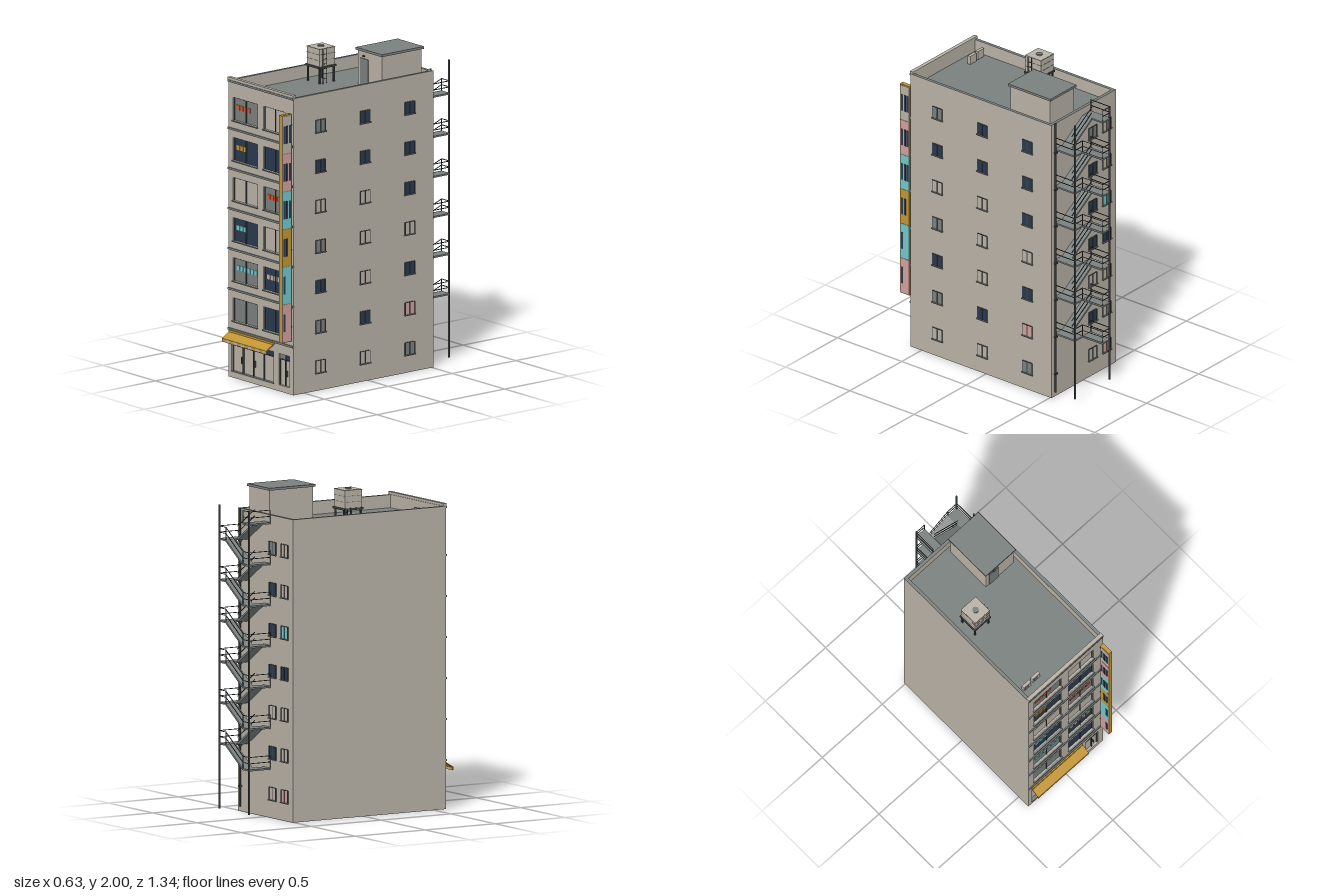
import * as THREE from 'three';

const mat = (name, color) => Object.assign(new THREE.MeshStandardMaterial({ color }), { name });

export function createModel() {
  const M = {
    wall: mat('wall beige', 0xb8b1a6), grey: mat('concrete grey', 0x7a807e),
    navy: mat('dark glass', 0x2a394f), dark: mat('dark metal', 0x414647),
    ochre: mat('ochre', 0xc29532), cyan: mat('cyan', 0x72c6cc),
    pink: mat('pink', 0xcf9f9c), red: mat('red', 0xcf5a3a),
  };
  const root = new THREE.Group();
  root.name = 'building';
  const group = (name) => {
    const g = new THREE.Group();
    g.name = name;
    root.add(g);
    return g;
  };
  // box given by its minimum and maximum on each axis
  const box = (parent, name, m, x0, x1, y0, y1, z0, z1) => {
    const mesh = new THREE.Mesh(new THREE.BoxGeometry(x1 - x0, y1 - y0, z1 - z0), m);
    mesh.position.set((x0 + x1) / 2, (y0 + y1) / 2, (z0 + z1) / 2);
    mesh.name = name;
    parent.add(mesh);
    return mesh;
  };
  // sloping bar in the x-y direction
  const slope = (parent, name, m, x0, y0, x1, y1, z, thick, depth) => {
    const mesh = new THREE.Mesh(new THREE.BoxGeometry(Math.hypot(x1 - x0, y1 - y0), thick, depth), m);
    mesh.position.set((x0 + x1) / 2, (y0 + y1) / 2, z);
    mesh.rotation.z = Math.atan2(y1 - y0, x1 - x0);
    mesh.name = name;
    parent.add(mesh);
  };
  const cyl = (parent, name, m, r, x, y0, y1, z) => {
    const mesh = new THREE.Mesh(new THREE.CylinderGeometry(r, r, y1 - y0, 10), m);
    mesh.position.set(x, (y0 + y1) / 2, z);
    mesh.name = name;
    parent.add(mesh);
  };
  const floors = [0.3, 0.55, 0.8, 1.05, 1.3, 1.55];

  // main block, with grey roof and underside
  box(root, 'body', [M.wall, M.wall, M.grey, M.grey, M.wall, M.wall], -0.31, 0.31, 0, 1.77, -0.51, 0.57);

  // front wall with openings
  const cols = [[-0.265, -0.035], [0.025, 0.23]];
  const rect = (S, x0, x1, y0, y1) =>
    new S([[x0, y0], [x1, y0], [x1, y1], [x0, y1]].map((p) => new THREE.Vector2(...p)));
  const facade = rect(THREE.Shape, -0.31, 0.31, 0, 1.85);
  for (const f of floors) for (const [a, b] of cols) facade.holes.push(rect(THREE.Path, a, b, f + 0.055, f + 0.198));
  facade.holes.push(rect(THREE.Path, -0.28, 0.12, 0.04, 0.235), rect(THREE.Path, 0.17, 0.27, 0.04, 0.235));
  const front = new THREE.Mesh(new THREE.ExtrudeGeometry(facade, { depth: 0.015, bevelEnabled: false }), M.wall);
  front.position.z = 0.57;
  front.name = 'frontWall';
  root.add(front);

  // parapet
  const parapet = group('parapet');
  const capped = [M.wall, M.wall, M.grey, M.wall, M.wall, M.wall];
  for (const s of [-1, 1]) {
    const [a, b] = s < 0 ? [-0.31, -0.29] : [0.29, 0.31];
    box(parapet, 'sideParapet', capped, a, b, 1.77, 1.85, -0.51, 0.57);
  }
  box(parapet, 'backParapet', capped, -0.29, 0.29, 1.77, 1.85, -0.51, -0.49);
  box(parapet, 'frontParapet', M.wall, -0.31, 0.31, 1.852, 1.868, 0.566, 0.59);

  // floor bands
  for (const y of [...floors, 1.845]) box(root, 'floorBand', M.grey, -0.31, 0.31, y - 0.006, y + 0.006, 0.58, 0.592);

  // front windows: pane colour, sticker colour, sticker count, left and right column
  const W = [
    [['grey'], ['navy']],
    [['grey', 'cyan', 6], ['navy', 'wall', 5]],
    [['navy', 'cyan', 3], ['wall']],
    [['wall'], ['grey', 'red', 5]],
    [['navy', 'ochre', 3], ['navy']],
    [['grey', 'red', 4], ['wall']],
  ];
  const windows = group('frontWindows');
  floors.forEach((f, i) => cols.forEach(([a, b], c) => {
    const [pane, sticker, n] = W[i][c], y0 = f + 0.055, y1 = f + 0.198, mid = (a + b) / 2;
    box(windows, 'pane', M[pane], a, b, y0, y1, 0.57, 0.573);
    for (const x of [a + 0.0025, mid, b - 0.0025]) box(windows, 'mullion', M.dark, x - 0.002, x + 0.002, y0, y1, 0.571, 0.579);
    box(windows, 'frameTop', M.dark, a, b, y1 - 0.003, y1, 0.571, 0.579);
    box(windows, 'sill', M.grey, a - 0.005, b + 0.005, y0 - 0.007, y0, 0.58, 0.594);
    for (let k = 0; k < (n || 0); k++) {
      const x = a + 0.022 + k * 0.0335;
      box(windows, 'sticker', M[sticker], x, x + 0.028, f + 0.124, f + 0.154, 0.573, 0.576);
    }
  }));

  // small windows, built facing +z and turned onto the wall
  const smallWindow = (pane, w, x, y, z, turn) => {
    const g = group('smallWindow');
    box(g, 'pane', M[pane], -w / 2, w / 2, -0.038, 0.038, 0, 0.003);
    for (const u of [-w / 2, 0, w / 2]) box(g, 'frameUpright', M.dark, u - 0.002, u + 0.002, -0.038, 0.038, 0, 0.006);
    box(g, 'frameTop', M.dark, -w / 2, w / 2, 0.036, 0.039, 0, 0.006);
    box(g, 'sill', M.grey, -w / 2 - 0.005, w / 2 + 0.005, -0.044, -0.038, 0, 0.011);
    g.position.set(x, y, z);
    g.rotation.y = turn;
  };
  const side = [
    ['wall', 'wall', 'grey'], ['grey', 'navy', 'pink'], ['navy', 'wall', 'navy'], ['grey', 'wall', 'wall'],
    ['wall', 'wall', 'navy'], ['navy', 'navy', 'navy'], ['grey', 'navy', 'navy'],
  ];
  const back = [
    ['wall', 'pink'], ['navy', 'wall'], ['wall', 'wall'], ['navy', 'navy'],
    ['navy', 'cyan'], ['navy', 'wall'], ['grey', 'wall'],
  ];
  for (let i = 0; i < 7; i++) {
    const y = 0.15 + i * 0.25;
    side[i].forEach((c, k) => smallWindow(c, 0.075, 0.31, y, 0.375 - 0.35 * k, Math.PI / 2));
    back[i].forEach((c, k) => smallWindow(c, 0.075, -0.085 - 0.135 * k, y, -0.51, Math.PI));
  }

  // shop front and entrance
  const shop = group('shopFront');
  box(shop, 'transom', M.navy, -0.28, 0.12, 0.205, 0.235, 0.57, 0.574);
  box(shop, 'transomBar', M.dark, -0.28, 0.12, 0.2, 0.205, 0.57, 0.579);
  for (let i = 0; i < 5; i++) box(shop, 'mullion', M.dark, -0.28 + i * 0.099, -0.276 + i * 0.099, 0.04, 0.235, 0.57, 0.579);
  for (const x of [-0.192, -0.069]) box(shop, 'handle', M.dark, x, x + 0.005, 0.1, 0.14, 0.57, 0.582);
  box(shop, 'threshold', M.grey, -0.285, 0.125, 0.035, 0.041, 0.57, 0.59);
  const door = group('entrance');
  box(door, 'sidePanel', M.grey, 0.17, 0.222, 0.2, 0.235, 0.57, 0.575);
  box(door, 'transom', M.navy, 0.226, 0.27, 0.205, 0.235, 0.57, 0.574);
  box(door, 'transomBar', M.dark, 0.17, 0.27, 0.199, 0.204, 0.57, 0.579);
  for (const x of [0.17, 0.222, 0.266]) box(door, 'doorFrame', M.dark, x, x + 0.004, 0.04, 0.2, 0.57, 0.579);
  box(door, 'handle', M.dark, 0.232, 0.237, 0.1, 0.135, 0.57, 0.582);

  // awning
  const awning = group('awning');
  box(awning, 'headBox', M.ochre, -0.29, 0.13, 0.284, 0.296, 0.585, 0.6);
  const sheet = box(awning, 'canopy', M.ochre, -0.29, 0.13, -0.003, 0.003, -0.036, 0.036);
  sheet.position.set(-0.08, 0.268, 0.619);
  sheet.rotation.x = 0.56;
  for (let i = 0; i < 12; i++) {
    const x = -0.29 + i * 0.035;
    box(awning, 'valance', i % 2 ? M.wall : M.ochre, x, x + 0.035, 0.23, 0.25, 0.647, 0.651);
  }

  // vertical sign
  const sign = group('verticalSign');
  box(sign, 'signBody', M.ochre, 0.277, 0.303, 0.337, 1.755, 0.597, 0.672);
  ['pink', 'cyan', 'ochre', 'cyan', 'pink', 'wall'].forEach((c, i) => {
    const y = 0.343 + i * 0.2345, n = [1, 1, 2, 3, 3, 3][i];
    for (const [a, b, o] of [[0.275, 0.277, -0.002], [0.303, 0.305, 0.002]]) {
      box(sign, 'signPanel', M[c], a, b, y, y + 0.232, 0.6, 0.669);
      for (let k = 0; k < n; k++) {
        const z = 0.654 - k * 0.021;
        box(sign, 'signBar', M.navy, a + o, b + o, y + 0.062, y + 0.172, z - 0.007, z + 0.007);
      }
    }
  });
  for (const y of [0.42, 0.9, 1.3, 1.68]) box(sign, 'bracket', M.dark, 0.286, 0.294, y, y + 0.01, 0.58, 0.6);

  // stair house on the roof
  const house = group('stairHouse');
  box(house, 'houseWalls', M.wall, 0.03, 0.26, 1.77, 1.985, -0.46, -0.15);
  box(house, 'houseRoof', M.grey, 0.02, 0.27, 1.985, 2, -0.47, -0.14);
  box(house, 'houseDoor', M.grey, 0.058, 0.13, 1.772, 1.94, -0.15, -0.145);
  box(house, 'doorLamp', M.dark, 0.084, 0.1, 1.953, 1.96, -0.15, -0.138);

  // water tank on legs
  const tank = group('waterTank');
  for (const x of [-0.228, -0.117]) for (const z of [-0.083, 0.028]) box(tank, 'leg', M.dark, x - 0.005, x + 0.005, 1.77, 1.868, z - 0.005, z + 0.005);
  box(tank, 'tankBase', M.dark, -0.24, -0.105, 1.865, 1.877, -0.095, 0.04);
  box(tank, 'tankBody', M.wall, -0.233, -0.112, 1.877, 1.988, -0.088, 0.033);
  for (const y of [1.914, 1.951]) box(tank, 'seam', M.grey, -0.2345, -0.1105, y - 0.001, y + 0.001, -0.0895, 0.0345);
  box(tank, 'rim', M.grey, -0.235, -0.11, 1.984, 1.987, -0.09, 0.035);
  cyl(tank, 'hatch', M.grey, 0.02, -0.172, 1.988, 1.995, -0.027);
  for (const z of [-0.02, 0.008]) box(tank, 'ladderRail', M.dark, -0.109, -0.105, 1.77, 1.985, z, z + 0.003);
  for (let y = 1.8; y < 1.98; y += 0.03) box(tank, 'ladderRung', M.dark, -0.109, -0.106, y, y + 0.003, -0.02, 0.011);

  // rooftop units
  for (const [x, z] of [[-0.235, 0.488], [-0.157, 0.484]]) {
    const unit = group('roofUnit');
    box(unit, 'unitBody', M.wall, x - 0.03, x + 0.03, 1.775, 1.83, z - 0.01, z + 0.01);
    box(unit, 'unitGrille', M.grey, x - 0.02, x + 0.01, 1.785, 1.82, z + 0.01, z + 0.012);
  }

  // fire escape
  const stair = group('fireEscape');
  const zi = -0.513, zo = -0.667;
  const landing = (y, x0, x1, endX) => {
    box(stair, 'landing', M.grey, x0, x1, y - 0.005, y + 0.005, zo, zi);
    for (const h of [0.042, 0.08]) {
      box(stair, 'outerRail', M.dark, x0, x1, y + h - 0.002, y + h + 0.002, zo, zo + 0.004);
      box(stair, 'endRail', M.dark, endX - 0.002, endX + 0.002, y + h - 0.002, y + h + 0.002, zo, zi);
    }
    for (const [x, z] of [[x0, zo], [x1 - 0.004, zo], [endX - 0.002, zi - 0.004]])
      box(stair, 'railPost', M.dark, x, x + 0.004, y, y + 0.08, z, z + 0.004);
  };
  const flight = (xa, ya, xb, yb, z, railZ) => {
    slope(stair, 'flight', M.grey, xa, ya, xb, yb, z, 0.012, 0.07);
    for (const h of [0.042, 0.08]) slope(stair, 'flightRail', M.dark, xa, ya + h, xb, yb + h, railZ, 0.004, 0.004);
  };
  for (const f of floors) {
    landing(f, -0.065, 0.01, -0.063);
    landing(f + 0.125, 0.2, 0.278, 0.276);
    flight(0.008, f, 0.202, f + 0.125, -0.632, -0.665);
    flight(0.202, f + 0.125, 0.008, f + 0.25, -0.548, -0.581);
  }
  landing(1.8, -0.065, 0.01, -0.063);
  for (const x of [-0.06, 0.273]) cyl(stair, 'pole', M.dark, 0.006, x, 0.03, 1.885, -0.664);

  // drain pipe
  const drain = group('drainPipe');
  cyl(drain, 'pipe', M.dark, 0.006, 0.277, 0.03, 1.855, -0.517);
  for (let y = 0.15; y < 1.85; y += 0.25) box(drain, 'clamp', M.dark, 0.267, 0.287, y, y + 0.01, -0.525, -0.508);

  return root;
}
